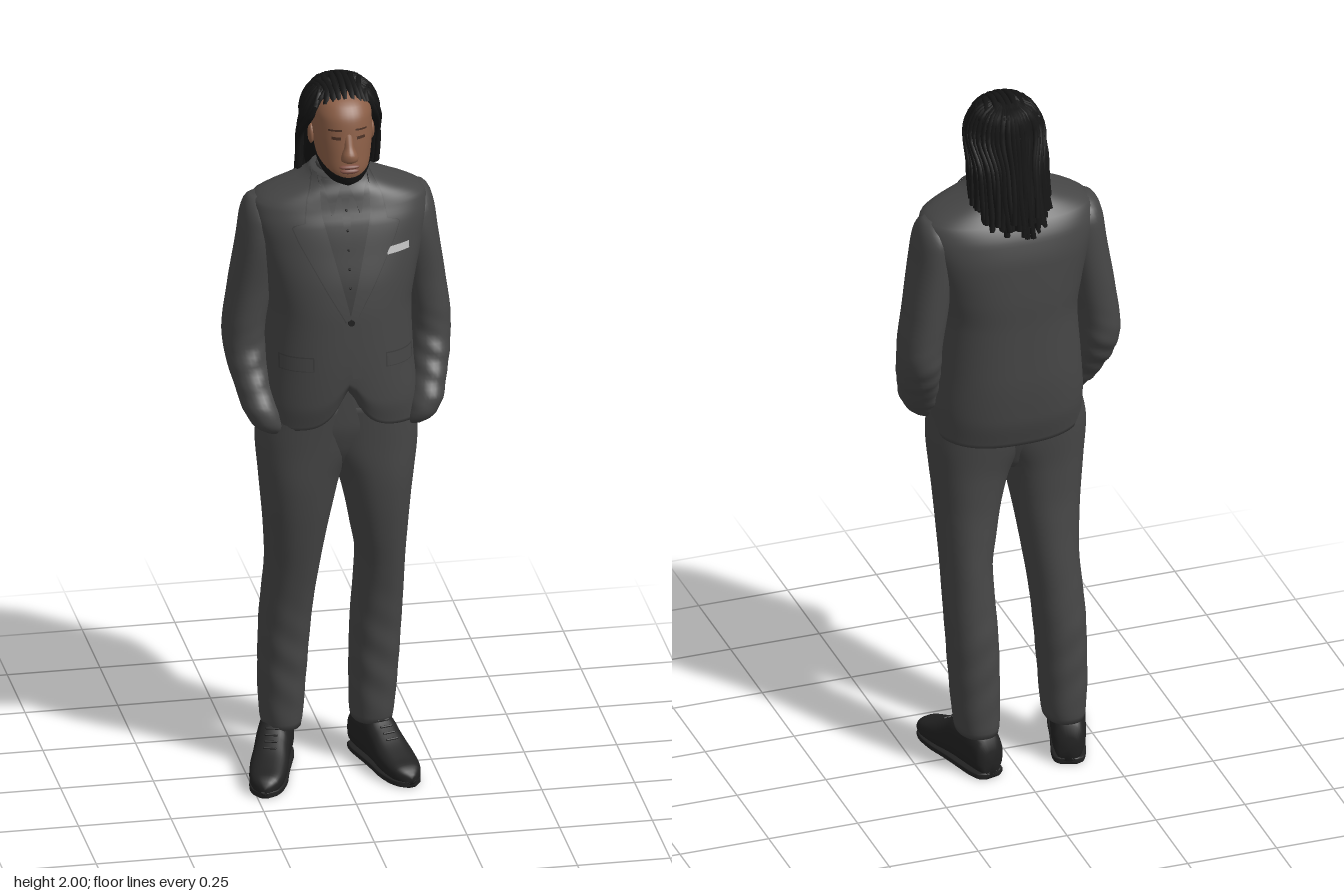
import * as THREE from 'three';
import { mergeGeometries, mergeVertices } from 'three/addons/utils/BufferGeometryUtils.js';
import { ParametricGeometry } from 'three/addons/geometries/ParametricGeometry.js';

const paint = (name, color, side = THREE.FrontSide) => Object.assign(new THREE.MeshStandardMaterial({ color, side }), { name });

// Cross-sections are [y, xLow, xHigh, zFront, zBack]; smooth monotone blend between them.
function at(rings, y) {
  const last = rings.length - 1;
  y = Math.min(Math.max(y, rings[0][0]), rings[last][0]);
  let i = 0;
  while (i < last - 1 && y > rings[i + 1][0]) i++;
  const h = rings[i + 1][0] - rings[i][0], t = (y - rings[i][0]) / h, t2 = t * t, t3 = t2 * t;
  return [1, 2, 3, 4].map((k) => {
    const slope = (j) => (rings[j + 1][k] - rings[j][k]) / (rings[j + 1][0] - rings[j][0]);
    const tangent = (j) => {
      const a = slope(Math.max(j - 1, 0)), b = slope(Math.min(j, last - 1));
      return a * b <= 0 ? 0 : (2 * a * b) / (a + b);
    };
    return (2 * t3 - 3 * t2 + 1) * rings[i][k] + (t3 - 2 * t2 + t) * h * tangent(i)
      + (3 * t2 - 2 * t3) * rings[i + 1][k] + (t3 - t2) * h * tangent(i + 1);
  });
}

// Closed body through superellipse cross-sections; u = 0 is the front.
function loft(rings, { n = 2, seg = 32, rows = 36, warp } = {}) {
  const y0 = rings[0][0], y1 = rings[rings.length - 1][0];
  const g = new ParametricGeometry((s, t, p) => {
    const i = Math.round(t * rows), u = (s * 2 - 1) * Math.PI;
    const y = y0 + (y1 - y0) * Math.min(Math.max((i - 1) / (rows - 2), 0), 1);
    const k = i === 0 || i === rows ? 0 : 1;
    const [a, b, f, r] = at(rings, y), pow = (v) => Math.sign(v) * Math.abs(v) ** (2 / n);
    p.set((a + b) / 2 + k * (b - a) / 2 * pow(Math.sin(u)), y, (f + r) / 2 + k * (f - r) / 2 * pow(Math.cos(u)));
    if (warp && k) warp(p, u);
  }, seg, rows);
  g.deleteAttribute('uv');
  g.deleteAttribute('normal');
  const merged = mergeVertices(g, 1e-5);
  merged.computeVertexNormals();
  return merged;
}

// Front surface depth of a loft at x, y.
function frontZ(rings, n, x, y) {
  const [a, b, f, r] = at(rings, y);
  const q = Math.min(Math.abs((x - (a + b) / 2) / ((b - a) / 2)), 1);
  return (f + r) / 2 + (f - r) / 2 * (1 - q ** n) ** (1 / n);
}

// Thin plate lying on the front of a loft; span(y) gives its two x edges.
function plate(rings, n, yLow, yHigh, span, off, slant = 0, rows = 24) {
  return new ParametricGeometry((s, t, p) => {
    const y = yLow + (yHigh - yLow) * t, [a, b] = span(y), x = a + (b - a) * s;
    const yy = y + slant * (x - (a + b) / 2);
    const edge = s < 0.01 || s > 0.99 || t < 0.01 || t > 0.99;
    p.set(x, yy, frontZ(rings, n, x, yy) + (edge ? off * 0.3 : off));
  }, 10, rows);
}

function table(points, y) {
  let i = 0;
  while (i < points.length - 2 && y > points[i + 1][0]) i++;
  const [a, b] = [points[i], points[i + 1]];
  return a[1] + (b[1] - a[1]) * Math.min(Math.max((y - a[0]) / (b[0] - a[0]), 0), 1);
}

export function createModel() {
  const model = new THREE.Group();
  const suit = paint('charcoal suit', 0x464646);
  const shirt = paint('dark shirt', 0x3d3d3d, THREE.DoubleSide);
  const leather = paint('black leather', 0x222222);
  const hair = paint('black hair', 0x151515, THREE.DoubleSide);
  const skin = paint('skin', 0x8b5e46);
  const lip = paint('lips', 0x805044);
  const linen = paint('pale linen', 0xc0c0c0);
  const brown = paint('eye brown', 0x4a3024);
  const add = (name, geometry, material, parent = model) => {
    const m = new THREE.Mesh(geometry, material);
    m.name = name;
    parent.add(m);
    return m;
  };

  // Jacket body with cutaway front hem
  const torso = [[1.02, -0.208, 0.203, 0.155, -0.14], [1.1, -0.209, 0.204, 0.17, -0.163], [1.22, -0.2, 0.195, 0.173, -0.174],
    [1.36, -0.19, 0.19, 0.17, -0.175], [1.45, -0.202, 0.204, 0.161, -0.178], [1.55, -0.224, 0.228, 0.138, -0.176],
    [1.62, -0.236, 0.24, 0.118, -0.163], [1.66, -0.23, 0.235, 0.1, -0.143], [1.682, -0.2, 0.205, 0.092, -0.124],
    [1.703, -0.15, 0.155, 0.085, -0.108], [1.73, -0.09, 0.095, 0.072, -0.09], [1.75, -0.07, 0.075, 0.064, -0.082]];
  add('jacket', loft(torso, { n: 2.5, seg: 128, rows: 72, warp: (p, u) => {
    const w = Math.min(Math.max((1.35 - p.y) / 0.33, 0), 1) ** 2;
    p.y += w * (p.z * 0.17 + (Math.cos(u) > 0 ? 0.12 * Math.exp(-((Math.abs(p.x) / 0.045) ** 1.4)) : 0));
  } }), suit);
  add('frontEdge', plate(torso, 2.5, 1.2, 1.37, (y) => [-0.012 + 0.1 * (1.37 - y), 0.03], 0.006), suit);

  // Shirt front, placket and collar
  const vEdge = (y) => 0.066 * Math.min(Math.max((y - 1.38) / 0.27, 0), 1);
  add('shirtFront', plate(torso, 2.5, 1.38, 1.74, (y) => [-vEdge(y), vEdge(y)], 0.003), shirt);
  add('shirtPlacket', plate(torso, 2.5, 1.42, 1.7, () => [-0.011, 0.011], 0.007), shirt);
  add('shirtCollar', loft([[1.69, -0.064, 0.07, 0.08, -0.08], [1.745, -0.061, 0.067, 0.071, -0.078],
    [1.762, -0.058, 0.064, 0.063, -0.074]], { rows: 10 }), shirt);
  for (let i = 0; i < 5; i++) {
    const y = 1.46 + i * 0.05;
    add('shirtButton', new THREE.SphereGeometry(0.004, 8, 6), leather).position.set(0, y, frontZ(torso, 2.5, 0, y) + 0.006);
  }

  // Notched lapels, collar points, flap pockets and sleeves
  const lapelOuter = [[1.365, 0.012], [1.45, 0.06], [1.58, 0.128], [1.622, 0.145], [1.63, 0.11], [1.69, 0.1], [1.745, 0.074]];
  const sleeve = [[1.025, 0.165, 0.215, 0.1, 0.04], [1.045, 0.16, 0.246, 0.12, 0.015], [1.075, 0.168, 0.264, 0.124, -0.005],
    [1.085, 0.168, 0.27, 0.124, -0.02], [1.13, 0.182, 0.282, 0.102, -0.05], [1.2, 0.192, 0.3, 0.065, -0.095],
    [1.27, 0.195, 0.307, 0.042, -0.118], [1.4, 0.178, 0.292, 0.045, -0.119], [1.55, 0.155, 0.269, 0.058, -0.116],
    [1.61, 0.15, 0.261, 0.052, -0.112], [1.65, 0.155, 0.25, 0.03, -0.092], [1.67, 0.165, 0.235, 0, -0.06]];
  for (const s of [-1, 1]) {
    const span = (f) => (y) => (s > 0 ? f(y) : f(y).map((v) => -v).reverse());
    add('lapelSeam', plate(torso, 2.5, 1.362, 1.745, span((y) => [vEdge(y), table(lapelOuter, y) + 0.003]), 0.003, 0, 60), shirt);
    add('lapel', plate(torso, 2.5, 1.365, 1.745, span((y) => [vEdge(y), table(lapelOuter, y)]), 0.011, 0, 60), suit);
    add('collarPoint', plate(torso, 2.5, 1.65, 1.735, span((y) => {
      const t = (y - 1.65) / 0.085;
      return [0.036 - 0.03 * t, 0.04 + 0.02 * t];
    }), 0.014), shirt);
    add('pocketSeam', plate(torso, 2.5, 1.219, 1.261, span(() => [0.097, 0.181]), 0.003, -s * 0.08, 8), shirt);
    add('pocketFlap', plate(torso, 2.5, 1.222, 1.258, span(() => [0.1, 0.178]), 0.009, -s * 0.08, 8), suit);
    add('sleeve', loft(sleeve.map(([y, a, b, f, r]) => [y, ...(s > 0 ? [a, b] : [-b, -a]), f, r]), { n: 2.2, rows: 56, warp: (p) => {
      p.z += 0.003 * Math.exp(-(((p.y - 1.17) / 0.1) ** 2)) * Math.sin(p.y * 110 + s * p.x * 50);
    } }), suit);
  }
  add('pocketSquare', plate(torso, 2.5, 1.537, 1.557, () => [0.1, 0.17], 0.007, 0.06, 6), linen);
  add('jacketButton', new THREE.CylinderGeometry(0.009, 0.009, 0.01, 16).rotateX(Math.PI / 2).translate(0, 1.365, 0.177), leather);

  // Trousers: hips only fill the valley between the overlapping legs
  add('trouserHips', loft([[0.88, -0.03, 0.01, 0.05, -0.05], [0.9, -0.05, 0.03, 0.08, -0.07], [0.93, -0.09, 0.07, 0.102, -0.085],
    [0.98, -0.14, 0.12, 0.125, -0.106], [1.05, -0.19, 0.18, 0.14, -0.124], [1.2, -0.17, 0.165, 0.145, -0.13]], { n: 2.2 }), suit);
  const rightLeg = [[0.118, -0.196, -0.092, 0.008, -0.136], [0.14, -0.2, -0.088, 0.012, -0.141], [0.25, -0.206, -0.08, 0.02, -0.142],
    [0.4, -0.205, -0.07, 0.034, -0.14], [0.5, -0.2, -0.062, 0.05, -0.131], [0.6, -0.194, -0.05, 0.073, -0.122],
    [0.7, -0.2, -0.036, 0.097, -0.112], [0.8, -0.21, -0.018, 0.117, -0.105], [0.88, -0.218, 0, 0.128, -0.106],
    [0.98, -0.226, 0.05, 0.135, -0.116], [1.1, -0.205, 0.07, 0.145, -0.128]];
  const leftEdges = [[0.045, 0.154], [0.042, 0.158], [0.04, 0.168], [0.042, 0.176], [0.047, 0.179], [0.05, 0.18],
    [0.033, 0.184], [0.012, 0.19], [-0.012, 0.198], [-0.065, 0.208], [-0.08, 0.2]];
  const leftLeg = rightLeg.map(([y, , , f, r], i) => [y, ...leftEdges[i], f, r]);
  const creases = (p) => {
    p.z += 0.002 * Math.exp(-(((p.y - 0.3) / 0.16) ** 2)) * Math.sin(p.y * 60 + p.x * 45);
  };
  add('rightTrouserLeg', loft(rightLeg, { n: 2.25, seg: 40, rows: 60, warp: creases }), suit);
  add('leftTrouserLeg', loft(leftLeg, { n: 2.25, seg: 40, rows: 60, warp: creases }), suit);

  // Shoes, lofted from heel to toe then laid down: [length, half width, top]
  const last = [[0, 0.025, 0.08], [0.012, 0.04, 0.115], [0.06, 0.047, 0.138], [0.125, 0.047, 0.135], [0.165, 0.048, 0.112],
    [0.215, 0.051, 0.084], [0.265, 0.047, 0.064], [0.3, 0.035, 0.052], [0.32, 0.013, 0.036]];
  for (const [name, x, turn] of [['leftShoe', 0.08, 0.27], ['rightShoe', -0.135, -0.31]]) {
    const shoe = new THREE.Group();
    shoe.name = name;
    add('upper', loft(last.map(([l, w, h]) => [l, -w, w, -0.008, -h]), { n: 2.6 }).rotateX(Math.PI / 2), leather, shoe);
    add('sole', loft(last.map(([l, w]) => [l, -w, w, 0, -0.018]), { n: 6 }).rotateX(Math.PI / 2), leather, shoe);
    for (let i = 0; i < 4; i++) {
      add('lace', new THREE.CapsuleGeometry(0.003, 0.03, 3, 8).rotateZ(Math.PI / 2).translate(0, 0.126 - i * 0.011, 0.147 + i * 0.018), leather, shoe);
    }
    shoe.position.set(x, 0, -0.138);
    shoe.rotation.y = turn;
    model.add(shoe);
  }

  // Head and face, built around x = 0
  const head = new THREE.Group();
  head.name = 'head';
  head.position.x = 0.006;
  model.add(head);
  const skull = [[1.737, -0.025, 0.025, 0.105, 0.04], [1.748, -0.046, 0.046, 0.117, 0], [1.78, -0.065, 0.065, 0.126, -0.05],
    [1.82, -0.074, 0.074, 0.122, -0.085], [1.87, -0.079, 0.079, 0.115, -0.1], [1.915, -0.078, 0.078, 0.107, -0.1],
    [1.95, -0.066, 0.066, 0.085, -0.09], [1.975, -0.036, 0.036, 0.04, -0.06]];
  add('face', loft(skull, { n: 2.2, seg: 40 }), skin, head);
  add('neck', new THREE.CylinderGeometry(0.054, 0.058, 0.12, 24).translate(0, 1.74, -0.002), skin, head);
  add('nose', loft([[1.806, -0.012, 0.012, 0.134, 0.1], [1.814, -0.024, 0.024, 0.143, 0.1], [1.828, -0.021, 0.021, 0.144, 0.1],
    [1.85, -0.014, 0.014, 0.13, 0.09], [1.885, -0.014, 0.014, 0.112, 0.08]], { seg: 20, rows: 16 }), skin, head);
  for (const [y, h, w] of [[1.793, 0.007, 0.028], [1.781, 0.008, 0.026]]) {
    add('lip', new THREE.SphereGeometry(1, 16, 10).scale(w, h, 0.011).translate(0, y, 0.122), lip, head);
  }
  for (const s of [-1, 1]) {
    const side = (a, b) => () => (s > 0 ? [a, b] : [-b, -a]);
    add('eyebrow', plate(skull, 2.2, 1.89, 1.895, side(0.018, 0.052), 0.003, -s * 0.08, 4), brown, head);
    add('eye', plate(skull, 2.2, 1.867, 1.875, side(0.021, 0.045), 0.003, 0, 4), brown, head);
    add('ear', new THREE.SphereGeometry(1, 12, 10).scale(0.009, 0.028, 0.018).translate(s * 0.081, 1.845, 0), skin, head);
  }
  // Beard following the jaw up to the hair
  add('beard', new ParametricGeometry((s, t, p) => {
    const u = (s * 2 - 1) * 1.7, q = (u / 1.7) ** 2, low = 1.736 + 0.035 * q;
    const y = low + (1.766 + 0.065 * q - low) * t, [a, b, f, r] = at(skull, y);
    p.set((b - a) / 2 * 1.05 * Math.sin(u), y - 0.002, (f + r) / 2 + ((f - r) / 2 + 0.005) * Math.cos(u));
  }, 32, 8), hair, head);

  // Hair cap and backing mass beneath the locks
  add('hairCap', new THREE.SphereGeometry(1, 32, 20, 0, Math.PI * 2, 0, Math.PI * 0.5).scale(0.088, 0.092, 0.104).translate(0, 1.899, -0.022), hair, head);
  add('hairBacking', loft([[1.68, -0.075, 0.075, -0.1, -0.152], [1.76, -0.086, 0.086, -0.055, -0.14],
    [1.84, -0.092, 0.092, -0.025, -0.125], [1.92, -0.083, 0.083, 0.01, -0.108]], { n: 2.4 }), hair, head);

  // Long locks fanning from the crown
  let seed = 7;
  const rand = () => (seed = (seed * 16807) % 2147483647) / 2147483647 - 0.5;
  const tube = (pts, r) => new THREE.TubeGeometry(new THREE.CatmullRomCurve3(pts.map((p) => new THREE.Vector3(...p))), 16, r, 6);
  const locks = [];
  for (let i = 0; i < 60; i++) {
    const a = (i / 59 * 2 - 1) * 2.25 + rand() * 0.1, low = a * 0.67;
    const k = 1 + (i % 2) * 0.05 + rand() * 0.1, S = Math.sin(low), C = Math.cos(low);
    const end = 1.65 + 0.07 * (1 - C) + (i % 2) * 0.012 + rand() * 0.045;
    locks.push(tube([[0.025 * Math.sin(a), 1.985, -0.025 - 0.035 * Math.cos(a)],
      [0.068 * k * Math.sin(a), 1.965, -0.026 - 0.078 * Math.cos(a)],
      [0.094 * k * Math.sin(a * 0.93), 1.91, -0.024 - 0.092 * k * Math.cos(a * 0.93)],
      [0.1 * k * S, 1.83, -0.03 - 0.1 * k * C],
      [0.1 * k * S + rand() * 0.008, (1.83 + end) / 2, -0.045 - 0.102 * k * C],
      [0.1 * k * S + rand() * 0.016, end, -0.055 - 0.106 * k * C]], 0.0085));
  }
  // Rows running back from the hairline
  for (let i = -4; i <= 4; i++) {
    const pts = [];
    for (let j = 0; j <= 6; j++) {
      const v = 0.96 - j * 0.3, w = i * 0.017 * (1 + 0.15 * Math.sin(j + i)), drop = Math.sqrt(1 - (w / 0.1) ** 2);
      pts.push([w, 1.899 + 0.093 * Math.cos(v) * drop, -0.022 + 0.104 * Math.sin(v) * drop]);
    }
    locks.push(tube(pts, 0.009));
  }
  add('locks', mergeGeometries(locks), hair, head);

  return model;
}
